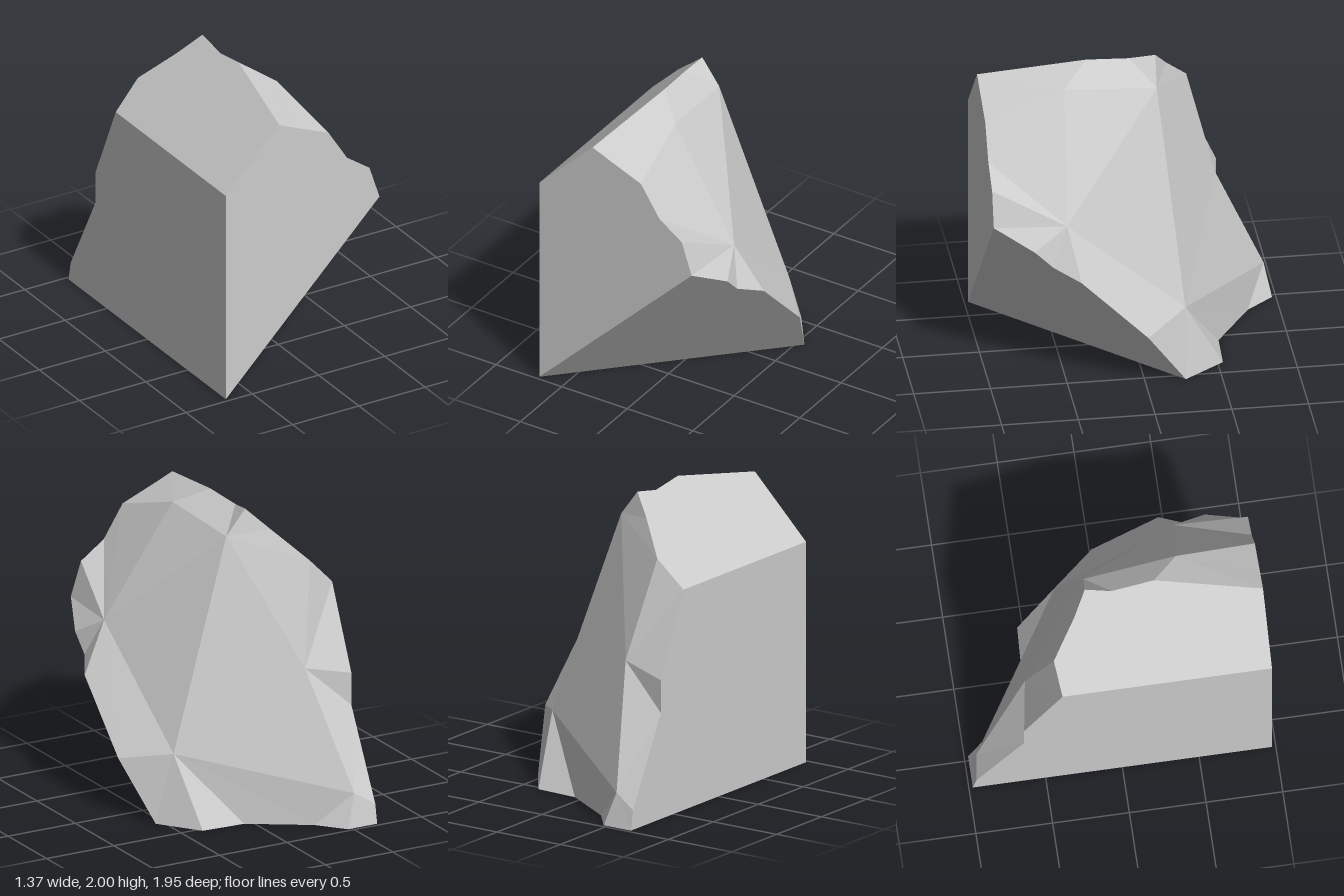
import * as THREE from 'three';

const L = -0.685, F = 0.975, S = 1.48; // left plane x, front plane z, shoulder height

// Triangles from a hub to each pair of neighbours along a ring (counterclockwise from outside)
function fan(hub, ring) {
  const out = [];
  for (let i = 0; i < ring.length - 1; i++) out.push(hub, ring[i], ring[i + 1]);
  return out;
}

function facetMesh(name, points) {
  const geometry = new THREE.BufferGeometry();
  geometry.setAttribute('position', new THREE.Float32BufferAttribute(points.flat(), 3));
  geometry.computeVertexNormals();
  const mesh = new THREE.Mesh(geometry, new THREE.MeshStandardMaterial({ color: 0xcccccc, flatShading: true }));
  mesh.name = name;
  return mesh;
}

export function createModel() {
  // Corners where the flat cuts meet
  const apex = [L, 0, F];
  const shoulder = [L, S, F];

  // Rims of the flat cuts, each given in its own plane
  const top = [[-0.28, F], [-0.165, 0.28], [-0.19, 0], [-0.165, -0.17], [-0.3, -0.26], [-0.5, -0.42], [L, -0.39]]
    .map(([x, z]) => [x, x - L + S, z]);
  const front = [[0.475, 1.16], [0.4, 1.39], [0.23, 1.51], [0.09, 1.73], [-0.14, 1.825]]
    .map(([x, y]) => [x, y, F]);
  const base = [[L, -0.975], [-0.47, -0.975], [-0.32, -0.795], [0.06, -0.55], [0.36, -0.535], [0.555, -0.265]]
    .map(([x, z]) => [x, 0, z]);
  const left = [[0.93, -0.64], [0.71, -0.64], [0.13, -0.95]]
    .map(([y, z]) => [L, y, z]);
  // Undercut slants equally in x, y and z through the apex
  const under = [[0.683, 0.39], [0.683, 0.825], [0.588, 0.9], [0.588, 1.02]]
    .map(([x, y]) => [x, y, F + y - (x - L)]);

  // Peaks of the broken surface
  const crown = [-0.03, 1.83, -0.16];
  const brow = [0.02, 1.89, 0.45];
  const cheek = [0.5, 1.15, 0.5];
  const hip = [0.43, 0.46, -0.28];
  const spine = [-0.37, 1.0, -0.59];
  const heel = [-0.54, 0.22, -0.93];

  const [t1, t2, t3, t4, t5, t6, t7] = top;
  const [f5, f4, f3, f2, f1] = front;
  const [h5, h4, h3, h2, h1, g5] = base;
  const [l1, l2, l3] = left;
  const [g4, g3, g2, g1] = under;

  const group = new THREE.Group();
  group.name = 'rockShard';
  group.add(
    // Flat cuts
    facetMesh('frontCut', fan(apex, [...front, t1, shoulder])),
    facetMesh('undersideCut', fan(apex, [g5, ...under, f5])),
    facetMesh('base', fan(apex, base)),
    facetMesh('leftCut', fan(apex, [shoulder, t7, ...left, h5])),
    facetMesh('slopingTop', fan(shoulder, top)),
    // Rough broken side, one fan around each peak
    facetMesh('brokenSide', [
      ...fan(cheek, [crown, brow, f2, f3, f4, f5, g1, g2, g3, g4, hip, crown]),
      ...fan(brow, [crown, t3, t2, t1, f1, f2]),
      ...fan(crown, [hip, spine, t6, t5, t4, t3]),
      ...fan(hip, [g4, g5, h1, h2, h3, heel, spine]),
      ...fan(spine, [heel, l2, l1, t7, t6]),
      ...fan(heel, [h3, h4, h5, l3, l2]),
    ]),
  );
  return group;
}
